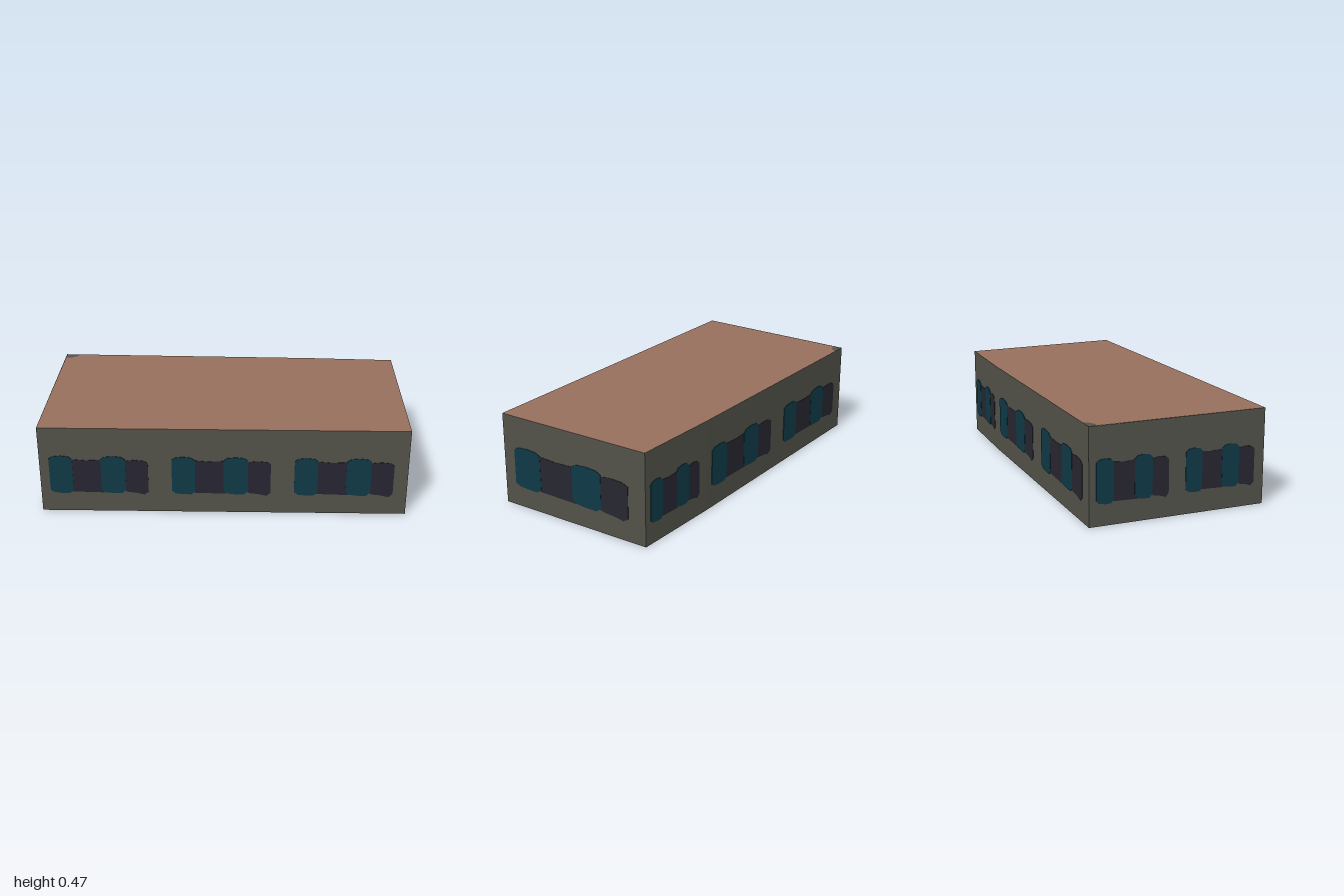
import * as THREE from 'three';

const H = 0.47;
// Footprint corners [x, z], walked left to right as seen from outside
const FOOTPRINT = [[-0.735, 0.69], [1, 0.1], [0.72, -0.695], [0.28, -0.565], [-1, -0.155]];
// Number of window groups on each wall
const BAYS = [3, 1, 1, 2, 2];

const mat = (name, color) => {
  const m = new THREE.MeshStandardMaterial({ color, side: THREE.DoubleSide });
  m.name = name;
  return m;
};

function polygon(points) {
  return new THREE.Shape(points.map(([x, y]) => new THREE.Vector2(x, y)));
}

// Thin plate centred on the wall plane, so it shows inside and outside
function plate(name, points, depth, material) {
  const geo = new THREE.ExtrudeGeometry(polygon(points), { depth, bevelEnabled: false });
  geo.translate(0, 0, -depth / 2);
  const mesh = new THREE.Mesh(geo, material);
  mesh.name = name;
  return mesh;
}

// Pane outline with softened corners; a..b across, y0..y1 up
function pane(a, b, y0, y1, slope = 0) {
  const cx = (b - a) * 0.16, cy = 0.018;
  return [
    [a, y0 + cy], [a + cx, y0 + cy * 0.25], [(a + b) / 2, y0], [b - cx, y0 - slope], [b, y0 + cy - slope],
    [b, y1 - cy], [b - cx, y1 - cy * 0.25], [(a + b) / 2, y1], [a + cx, y1 - cy * 0.25], [a, y1 - cy],
  ];
}

// Horizontal face at roof height from [x, z] points
function roofFace(name, points, material) {
  const geo = new THREE.ShapeGeometry(polygon(points.map(([x, z]) => [x, -z])));
  geo.rotateX(-Math.PI / 2).translate(0, H, 0);
  const mesh = new THREE.Mesh(geo, material);
  mesh.name = name;
  return mesh;
}

export function createModel() {
  const model = new THREE.Group();
  model.name = 'building';
  const wallMat = mat('grey wall', 0x52524a);
  const roofMat = mat('brown roof', 0x966f5c);
  const glassMat = mat('teal glass', 0x0f3946);
  const darkMat = mat('dark glass', 0x272631);

  // Walls with repeated window groups
  FOOTPRINT.forEach(([x0, z0], i) => {
    const [x1, z1] = FOOTPRINT[(i + 1) % FOOTPRINT.length];
    const length = Math.hypot(x1 - x0, z1 - z0);
    const wall = new THREE.Group();
    wall.name = 'wall' + (i + 1);
    wall.position.set(x0, 0, z0);
    wall.rotation.y = Math.atan2(z0 - z1, x1 - x0);

    const face = new THREE.Mesh(new THREE.PlaneGeometry(length, H).translate(length / 2, H / 2, 0), wallMat);
    face.name = 'wallFace';
    wall.add(face);

    const bay = length / BAYS[i];
    for (let k = 0; k < BAYS[i]; k++) {
      const at = (u) => (k + u) * bay;
      // Dark panes sit between and beside the teal ones
      wall.add(
        plate('middlePane', [[at(0.25), 0.112], [at(0.52), 0.108], [at(0.52), 0.295], [at(0.38), 0.291], [at(0.25), 0.297]], 0.004, darkMat),
        plate('endPane', pane(at(0.68), at(0.885), 0.108, 0.296, 0.01), 0.004, darkMat),
        plate('leftGlass', pane(at(0.078), at(0.268), 0.103, 0.316), 0.006, glassMat),
        plate('rightGlass', pane(at(0.5), at(0.7), 0.105, 0.316), 0.006, glassMat),
      );
    }
    model.add(wall);
  });

  // Roof, with a small grey patch at the back corner; the underside is open
  const patchEdge = [[-0.985, -0.113], [-0.955, -0.125], [-0.935, -0.148], [-0.925, -0.179]];
  model.add(roofFace('roof', [...FOOTPRINT.slice(0, 4), ...[...patchEdge].reverse()], roofMat));
  model.add(roofFace('cornerPatch', [FOOTPRINT[4], ...patchEdge], wallMat));
  return model;
}
